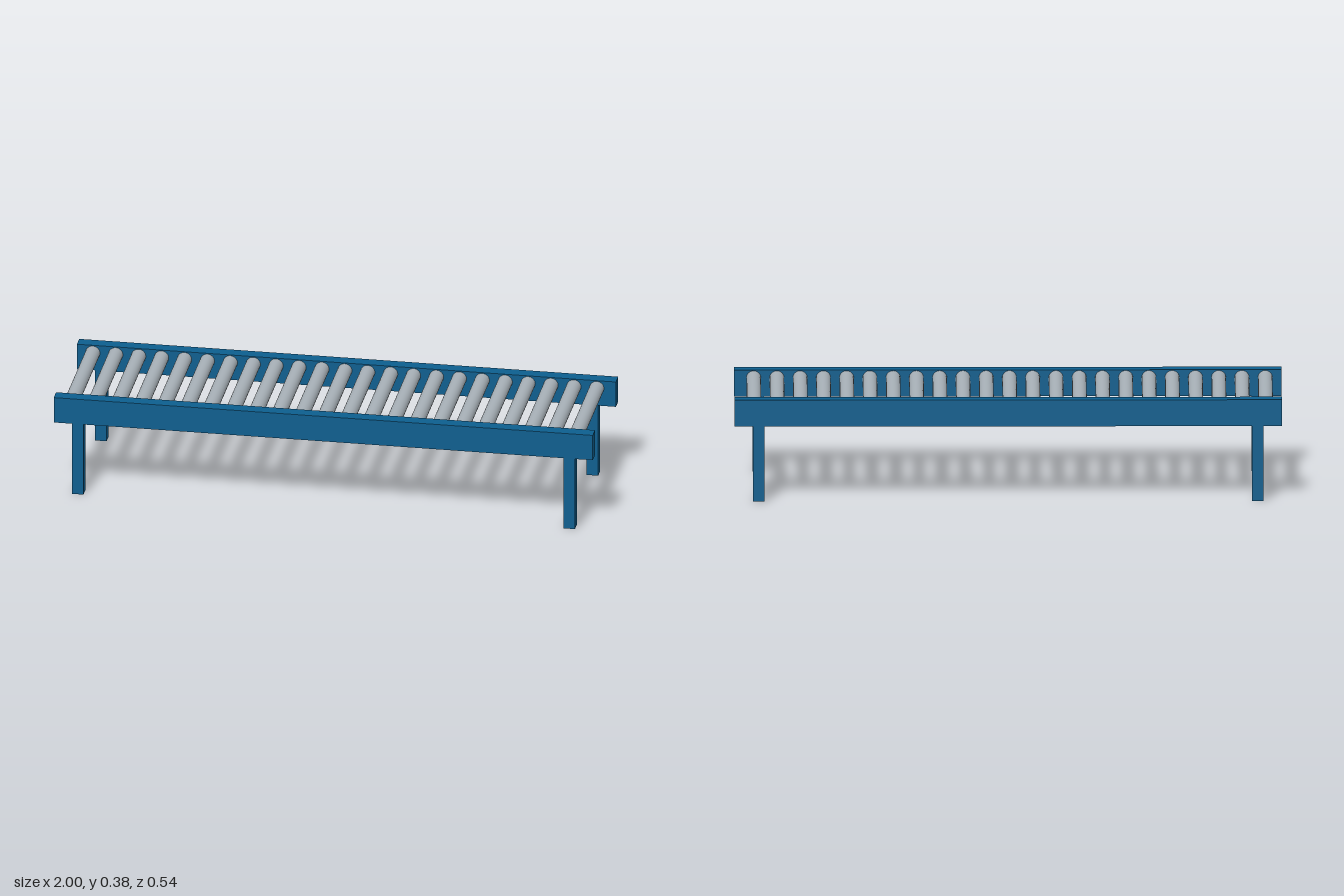
import * as THREE from 'three';

export function createModel() {
  const model = new THREE.Group();
  model.name = 'rollerConveyor';

  const blue = new THREE.MeshStandardMaterial({ color: 0x0d5f8f });
  blue.name = 'frame blue';
  const grey = new THREE.MeshStandardMaterial({ color: 0xa8b1b8 });
  grey.name = 'roller grey';

  const add = (name, geometry, material, x, y, z) => {
    const mesh = new THREE.Mesh(geometry, material);
    mesh.name = name;
    mesh.position.set(x, y, z);
    model.add(mesh);
  };

  // Side rails with two legs under each
  const railGeo = new THREE.BoxGeometry(2, 0.099, 0.049);
  const legGeo = new THREE.BoxGeometry(0.043, 0.281, 0.044);
  for (const side of [-1, 1]) {
    add('sideRail', railGeo, blue, 0, 0.3305, side * 0.2465);
    for (const end of [-1, 1]) {
      add('leg', legGeo, blue, end * 0.912, 0.1405, side * 0.2465);
    }
  }

  // Evenly spaced rollers, seated between the rails
  const rollerCount = 23;
  const rollerGeo = new THREE.CylinderGeometry(0.0267, 0.0267, 0.444, 32).rotateX(Math.PI / 2);
  for (let i = 0; i < rollerCount; i++) {
    add('roller', rollerGeo, grey, -0.941 + i * 0.085, 0.3505, 0);
  }

  return model;
}
